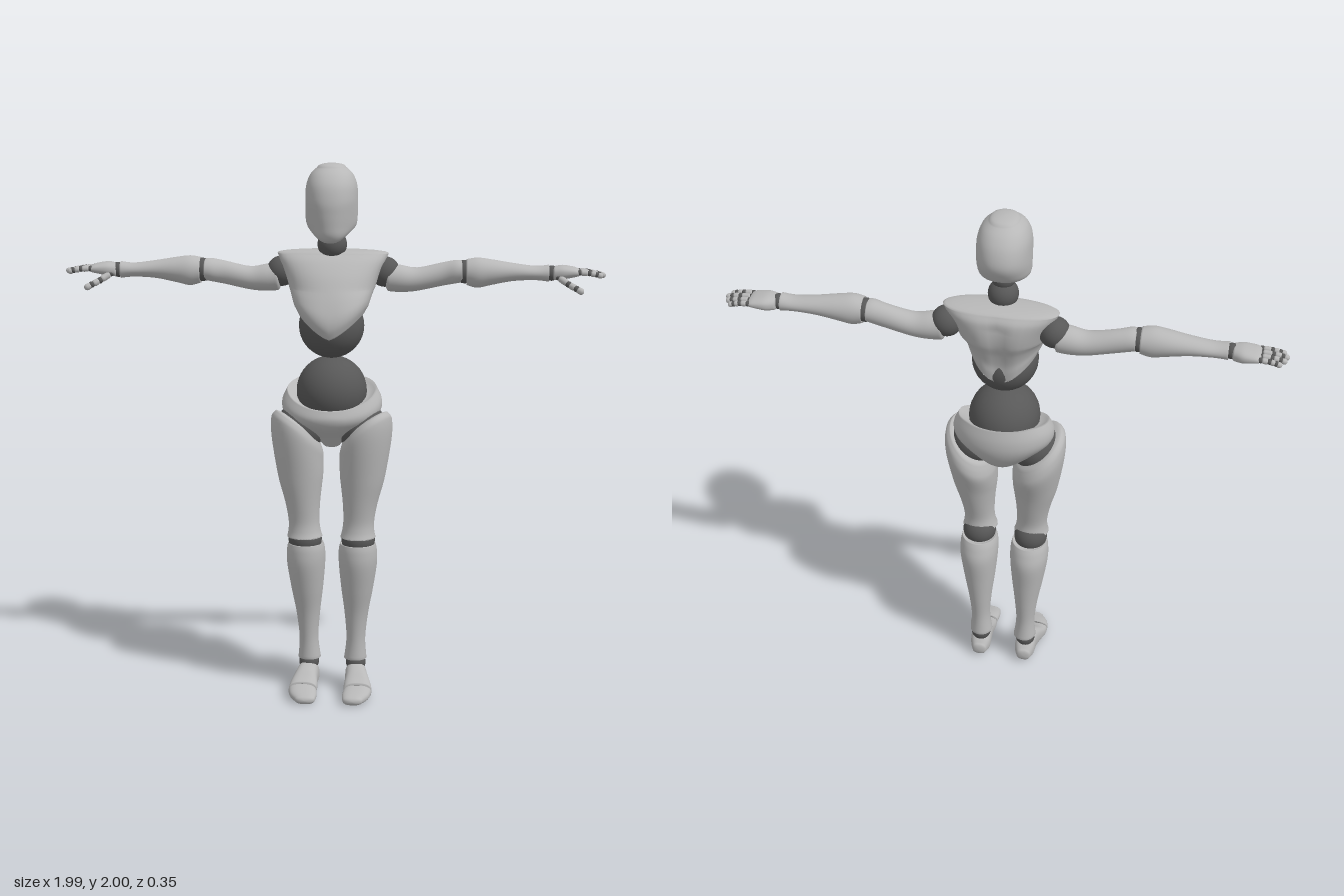
import * as THREE from 'three';

const shell = new THREE.MeshStandardMaterial({ color: 0xb8b8b8 });
shell.name = 'light grey shell';
const joint = new THREE.MeshStandardMaterial({ color: 0x585858 });
joint.name = 'dark grey joint';

const clamp = (v) => Math.min(1, Math.max(0, v));

// Catmull-Rom resampling of cross-section rows
function resample(rows, steps) {
  const out = [];
  const at = (i) => rows[Math.min(rows.length - 1, Math.max(0, i))];
  for (let i = 0; i < rows.length - 1; i++) {
    for (let j = 0; j < steps; j++) {
      const t = j / steps, [a, b, c, d] = [at(i - 1), at(i), at(i + 1), at(i + 2)];
      out.push(b.map((_, k) => 0.5 * (2 * b[k] + (c[k] - a[k]) * t
        + (2 * a[k] - 5 * b[k] + 4 * c[k] - d[k]) * t * t
        + (3 * b[k] - a[k] - 3 * c[k] + d[k]) * t * t * t)));
    }
  }
  out.push(rows[rows.length - 1]);
  return out;
}

// Closed loft. Rows ascend along the axis: [position, centreU, centreV, radiusU, radiusV],
// (u, v) = (z, x) for axis y, (y, z) for axis x, (x, y) for axis z.
function loft(axis, rows, { start = 0.01, end = 0.01, power = 2, warp, steps = 5, n = 40 } = {}) {
  const body = resample(rows, steps);
  const cap = (r, d) => [0.3, 0.6, 0.85, 1.1, 1.35, 1.57].map((a) => [
    r[0] + d * Math.sin(a), r[1], r[2], r[3] * Math.cos(a), r[4] * Math.cos(a)]);
  const all = [...cap(body[0], -start).reverse(), ...body, ...cap(body[body.length - 1], end)];
  const pos = [], index = [];
  const curve = (v) => Math.sign(v) * Math.pow(Math.abs(v), 2 / power);
  for (const [w, cu, cv, ru, rv] of all) {
    for (let i = 0; i < n; i++) {
      const a = (i / n) * Math.PI * 2;
      const u = cu + ru * curve(Math.cos(a)), v = cv + rv * curve(Math.sin(a));
      const p = axis === 'y' ? new THREE.Vector3(v, w, u)
        : axis === 'x' ? new THREE.Vector3(w, u, v) : new THREE.Vector3(u, v, w);
      if (warp) warp(p);
      pos.push(p.x, p.y, p.z);
    }
  }
  for (let r = 0; r < all.length - 1; r++) {
    for (let i = 0; i < n; i++) {
      const a = r * n + i, b = r * n + (i + 1) % n;
      index.push(a, b, a + n, b, b + n, a + n);
    }
  }
  const g = new THREE.BufferGeometry();
  g.setAttribute('position', new THREE.Float32BufferAttribute(pos, 3));
  g.setIndex(index);
  g.computeVertexNormals();
  return g;
}

// Mirror a geometry across x = 0, keeping faces outward
function mirrored(g) {
  const m = g.clone().scale(-1, 1, 1);
  const a = m.index.array;
  for (let i = 0; i < a.length; i += 3) [a[i], a[i + 1]] = [a[i + 1], a[i]];
  m.computeVertexNormals();
  return m;
}

export function createModel() {
  const model = new THREE.Group();
  model.name = 'jointedMannequin';
  const add = (name, geometry, material, parent = model) => {
    const mesh = new THREE.Mesh(geometry, material);
    mesh.name = name;
    parent.add(mesh);
    return mesh;
  };
  const ball = (name, x, y, z, r, parent = model) => {
    const m = add(name, new THREE.SphereGeometry(r, 32, 20), joint, parent);
    m.position.set(x, y, z);
    return m;
  };
  // Rows given as [y, half width, front z, back z]
  const body = (rows) => rows.map(([y, rx, f, b]) => [y, (f + b) / 2, 0, (f - b) / 2, rx]);

  // Head: rounded skull, flat sides and a narrow chin
  add('head', loft('y', body([
    [1.722, 0.03, 0.092, 0.06], [1.73, 0.05, 0.104, 0.045], [1.75, 0.075, 0.115, 0.0],
    [1.78, 0.091, 0.12, -0.09], [1.82, 0.095, 0.124, -0.128], [1.865, 0.095, 0.125, -0.145],
    [1.92, 0.092, 0.112, -0.132], [1.96, 0.077, 0.084, -0.104], [1.985, 0.052, 0.05, -0.07],
  ]), {
    start: 0.003, end: 0.015, power: 2.2,
    warp: (p) => { p.x *= 1 - 0.35 * clamp(p.z / 0.12) * clamp((1.87 - p.y) / 0.12); },
  }), shell);
  ball('neckBall', 0, 1.705, -0.035, 0.054);
  ball('skullBall', 0, 1.765, -0.03, 0.042);

  // Chest shell with a hem that dips at front and back, and a spine groove
  add('chest', loft('y', body([
    [1.375, 0.122, 0.132, -0.128], [1.41, 0.133, 0.145, -0.132], [1.45, 0.14, 0.143, -0.134],
    [1.5, 0.148, 0.125, -0.146], [1.55, 0.158, 0.1, -0.163], [1.6, 0.174, 0.07, -0.168],
    [1.645, 0.195, 0.03, -0.162], [1.67, 0.205, -0.005, -0.145],
  ]), {
    start: -0.05, end: 0.014, power: 2.1,
    warp: (p) => {
      const k = clamp((1.55 - p.y) / 0.175);
      p.y += k * 0.09 * Math.pow(clamp(Math.abs(p.x) / 0.125), 1.3);
      p.z += 0.018 * Math.exp(-((p.x / 0.035) ** 2)) * clamp((-0.08 - p.z) / 0.05) * clamp((1.68 - p.y) / 0.06);
    },
  }), shell);
  ball('ribBall', 0, 1.412, 0, 0.12);

  // Waist ball and pelvis shell
  ball('waistBall', 0, 1.167, -0.012, 0.13).scale.set(1, 1, 1.06);
  add('pelvis', loft('y', body([
    [0.965, 0.032, 0.03, -0.05], [1.0, 0.072, 0.065, -0.115], [1.05, 0.13, 0.1, -0.155],
    [1.1, 0.178, 0.12, -0.174], [1.15, 0.185, 0.126, -0.175], [1.2, 0.165, 0.115, -0.163],
  ]), {
    start: 0.01, end: -0.04,
    warp: (p) => {
      const f = Math.max(-1, Math.min(1, p.z / 0.12));
      p.y -= clamp((p.y - 1) / 0.2) * (f > 0 ? 0.03 + 0.06 * f : 0.03 * (1 + f));
    },
  }), shell);

  // Leg shells: [y, z, x, radius z, radius x]
  const thigh = loft('y', [
    [0.615, 0.012, 0.1, 0.068, 0.066], [0.64, 0.011, 0.101, 0.061, 0.06],
    [0.68, 0.01, 0.103, 0.059, 0.058], [0.75, 0.007, 0.108, 0.071, 0.066],
    [0.85, 0.003, 0.117, 0.092, 0.085], [0.95, -0.001, 0.127, 0.114, 0.097],
    [1.0, 0, 0.127, 0.115, 0.096], [1.03, 0, 0.125, 0.104, 0.084],
  ], {
    start: -0.02, end: 0.018,
    warp: (p) => { p.y += clamp((p.y - 0.82) / 0.18) * ((p.x - 0.125) * 0.7 + p.z * 0.3); },
  });
  const shin = loft('y', [
    [0.118, -0.048, 0.088, 0.046, 0.043], [0.2, -0.045, 0.09, 0.043, 0.036],
    [0.3, -0.042, 0.092, 0.053, 0.045], [0.4, -0.033, 0.095, 0.07, 0.06],
    [0.5, -0.025, 0.098, 0.086, 0.072], [0.555, -0.017, 0.098, 0.081, 0.072],
    [0.585, -0.012, 0.098, 0.072, 0.066],
  ], { start: -0.01, end: -0.01 });
  // Foot shells: [z, x, y, radius x, radius y]
  const foot = loft('z', [
    [-0.088, 0.09, 0.036, 0.028, 0.026], [-0.06, 0.09, 0.045, 0.039, 0.043],
    [-0.02, 0.092, 0.053, 0.041, 0.052], [0.02, 0.098, 0.046, 0.045, 0.044],
    [0.055, 0.102, 0.035, 0.052, 0.034], [0.08, 0.104, 0.03, 0.053, 0.029],
  ], { start: 0.01, end: 0.004, power: 2.5 });
  const toe = loft('z', [
    [0.094, 0.104, 0.028, 0.053, 0.027], [0.13, 0.098, 0.023, 0.05, 0.022],
    [0.16, 0.09, 0.018, 0.038, 0.017],
  ], { start: 0.004, end: 0.018, power: 2.4 });

  // Arm shells: [x, y, z, radius y, radius z]
  const upperArm = loft('x', [
    [0.205, 1.58, -0.085, 0.052, 0.053], [0.25, 1.575, -0.086, 0.05, 0.052],
    [0.31, 1.573, -0.088, 0.043, 0.046], [0.4, 1.592, -0.088, 0.043, 0.041],
    [0.45, 1.602, -0.082, 0.043, 0.045], [0.475, 1.604, -0.08, 0.04, 0.045],
  ], { start: 0.014, end: -0.01 });
  const foreArm = loft('x', [
    [0.49, 1.602, -0.078, 0.047, 0.049], [0.53, 1.6, -0.076, 0.055, 0.054],
    [0.58, 1.602, -0.078, 0.047, 0.051], [0.66, 1.603, -0.081, 0.033, 0.042],
    [0.74, 1.6, -0.081, 0.026, 0.037], [0.79, 1.6, -0.08, 0.031, 0.036],
  ], { start: -0.008, end: -0.005 });
  const palm = loft('x', [
    [0.81, 1.6, -0.084, 0.025, 0.038], [0.84, 1.603, -0.088, 0.026, 0.048],
    [0.88, 1.604, -0.089, 0.019, 0.048], [0.897, 1.603, -0.089, 0.014, 0.045],
  ], { start: 0.008, end: 0.005, power: 2.4 });

  for (const s of [1, -1]) {
    const side = s > 0 ? 'left' : 'right';
    const g = (geo) => (s > 0 ? geo : mirrored(geo));
    const leg = new THREE.Group(), arm = new THREE.Group();
    leg.name = side + 'Leg';
    arm.name = side + 'Arm';
    model.add(leg, arm);

    ball('hipBall', s * 0.11, 1.035, 0, 0.093, leg);
    add('thigh', g(thigh), shell, leg);
    ball('kneeBall', s * 0.1, 0.6, -0.004, 0.063, leg);
    add('shin', g(shin), shell, leg);
    ball('ankleBall', s * 0.09, 0.1, -0.045, 0.038, leg);
    add('foot', g(foot), shell, leg);
    ball('toeJoint', s * 0.104, 0.028, 0.087, 0.024, leg).scale.set(2, 1, 1);
    add('toe', g(toe), shell, leg);

    ball('shoulderBall', s * 0.19, 1.6, -0.085, 0.056, arm);
    add('upperArm', g(upperArm), shell, arm);
    ball('elbowBall', s * 0.484, 1.603, -0.079, 0.043, arm);
    add('foreArm', g(foreArm), shell, arm);
    ball('wristBall', s * 0.8, 1.6, -0.081, 0.028, arm);
    add('palm', g(palm), shell, arm);

    // Digits: shell segments between dark knuckles
    const digit = (name, points, r) => {
      for (let i = 0; i < points.length - 1; i++) {
        const [a, b] = [points[i], points[i + 1]].map((p) => new THREE.Vector3(s * p[0], p[1], p[2]));
        ball(name + 'Knuckle', a.x, a.y, a.z, r * 0.95, arm);
        const dir = b.clone().sub(a), len = dir.length();
        const seg = add(name + 'Segment', new THREE.CapsuleGeometry(r, Math.max(0.002, len - 2 * r - 0.003), 4, 12), shell, arm);
        seg.position.copy(a).add(b).multiplyScalar(0.5);
        seg.quaternion.setFromUnitVectors(new THREE.Vector3(0, 1, 0), dir.normalize());
      }
    };
    [[-0.126, 0.972], [-0.102, 0.99], [-0.077, 0.998], [-0.053, 0.985]].forEach(([z, tip]) => {
      const l = tip - 0.9;
      digit('finger', [[0.9, 1.605, z], [0.9 + l * 0.42, 1.603, z],
        [0.9 + l * 0.74, 1.598, z], [tip, 1.592, z]], 0.0105);
    });
    digit('thumb', [[0.825, 1.588, -0.055], [0.86, 1.565, -0.03],
      [0.888, 1.551, -0.014], [0.914, 1.537, 0.0]], 0.0125);
  }
  return model;
}
